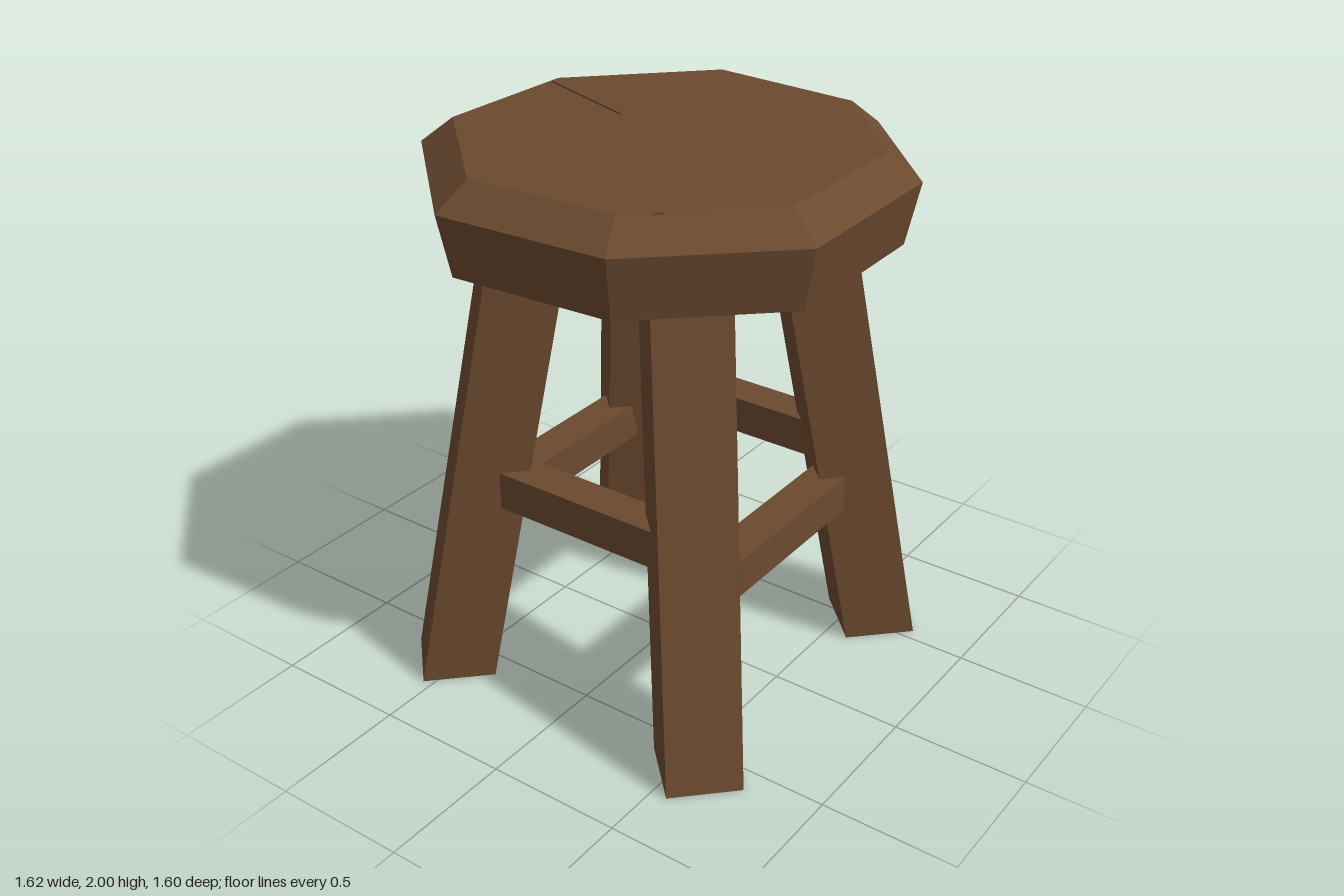
import * as THREE from 'three';

// Closed faceted solid through rings of [x, y, z] points, lowest ring first,
// each ring running clockwise as seen from above.
function loft(rings) {
  const pos = [];
  const tri = (a, b, c) => pos.push(...a, ...b, ...c);
  const n = rings[0].length;
  for (let r = 0; r < rings.length - 1; r++) {
    const lo = rings[r], hi = rings[r + 1];
    for (let i = 0; i < n; i++) {
      const j = (i + 1) % n;
      tri(lo[i], hi[i], lo[j]);
      tri(lo[j], hi[i], hi[j]);
    }
  }
  const bottom = rings[0], top = rings[rings.length - 1];
  for (let i = 1; i < n - 1; i++) {
    tri(bottom[0], bottom[i], bottom[i + 1]);
    tri(top[0], top[i + 1], top[i]);
  }
  const geo = new THREE.BufferGeometry();
  geo.setAttribute('position', new THREE.Float32BufferAttribute(pos, 3));
  geo.computeVertexNormals();
  return geo;
}

const ring = (outline, y, s = 1) => outline.map(([x, z]) => [x * s, y, z * s]);

export function createModel() {
  const group = new THREE.Group();
  const wood = new THREE.MeshStandardMaterial({ color: 0x6b4a2f });
  wood.name = 'brown wood';
  const add = (name, geo) => {
    const mesh = new THREE.Mesh(geo, wood);
    mesh.name = name;
    group.add(mesh);
    return mesh;
  };

  // Uneven octagonal seat with a chamfered rim
  const rim = [[-0.33, -0.8], [0.31, -0.785], [0.81, -0.295], [0.765, 0.37],
    [0.32, 0.785], [-0.35, 0.795], [-0.775, 0.34], [-0.81, -0.295]];
  add('seat', loft([ring(rim, 1.68, 0.945), ring(rim, 1.9), ring(rim, 1.994, 0.862)]));

  // Thin wedge cracks on the seat
  const cracks = {
    backCrack: [[0.065, -0.24], [0.215, -0.665], [0.25, -0.65]],
    frontCrack: [[-0.325, 0.22], [-0.58, 0.41], [-0.605, 0.385]],
  };
  for (const [name, outline] of Object.entries(cracks)) {
    add(name, loft([ring(outline, 1.992), ring(outline, 2)]));
  }

  // Square legs turned 45 degrees, leaning inwards towards the seat
  const legTop = 1.75, lean = 0.134 * legTop, h = 0.187;
  const legs = {
    frontLeftLeg: [0.547, 0.585], frontRightLeg: [-0.593, 0.56],
    backLeftLeg: [0.535, -0.553], backRightLeg: [-0.598, -0.537],
  };
  for (const [name, [x, z]] of Object.entries(legs)) {
    const diamond = (cx, cz) => [[cx - h, cz], [cx, cz - h], [cx + h, cz], [cx, cz + h]];
    add(name, loft([
      ring(diamond(x, z), 0),
      ring(diamond(x - Math.sign(x) * lean, z - Math.sign(z) * lean), legTop),
    ]));
  }

  // Stretchers: a low pair at front and back, a higher pair at the sides
  const t = 0.14;
  for (const [name, z] of [['frontStretcher', 0.487], ['backStretcher', -0.465]]) {
    add(name, new THREE.BoxGeometry(0.75, t, t)).position.set(-0.022, 0.645, z);
  }
  for (const [name, x] of [['leftStretcher', 0.455], ['rightStretcher', -0.49]]) {
    add(name, new THREE.BoxGeometry(t, t, 0.725)).position.set(x, 0.787, 0.013);
  }

  return group;
}
